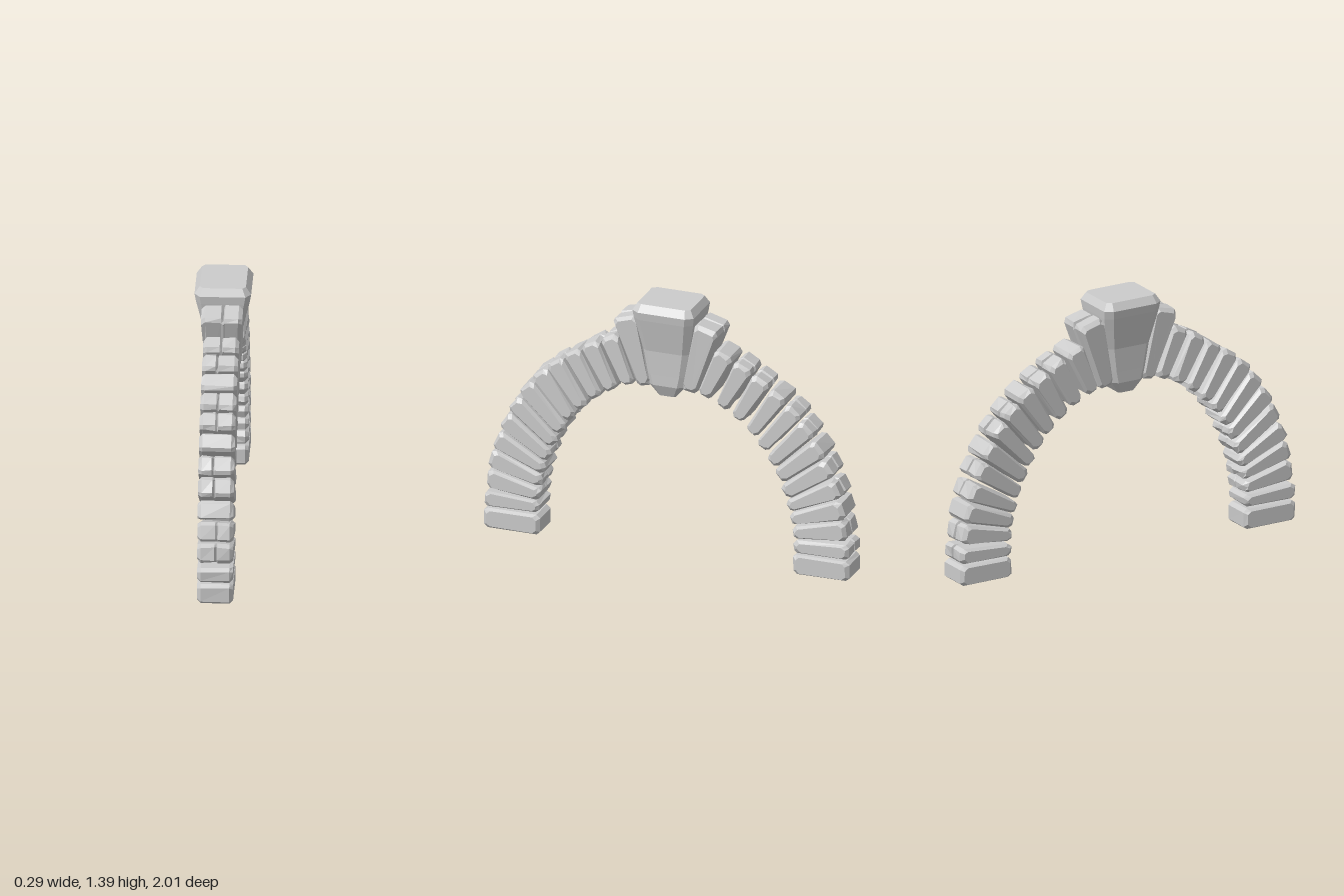
import * as THREE from 'three';

const material = new THREE.MeshStandardMaterial({ color: 0xcccccc, flatShading: true });

// small seeded generator for the worn, hand-cut look
let seed = 7;
const rand = () => (seed = (seed * 16807) % 2147483647) / 2147483647;
const wobble = (a) => (rand() * 2 - 1) * a;

// skin a list of equal-length rings and cap both ends
function loft(rings) {
  const n = rings[0].length;
  const pts = rings.flat();
  const faces = [];
  for (let i = 0; i < rings.length - 1; i++) {
    for (let j = 0; j < n; j++) {
      const a = i * n + j, b = i * n + ((j + 1) % n);
      faces.push([a, b, b + n], [a, b + n, a + n]);
    }
  }
  const last = (rings.length - 1) * n;
  for (let j = 1; j < n - 1; j++) {
    faces.push([0, j + 1, j], [last, last + j, last + j + 1]);
  }
  // turn every face outwards when the rings run the other way
  let volume = 0;
  const cross = new THREE.Vector3();
  for (const [a, b, c] of faces) volume += pts[a].dot(cross.crossVectors(pts[b], pts[c]));
  const index = faces.flatMap(([a, b, c]) => (volume < 0 ? [a, c, b] : [a, b, c]));
  const geometry = new THREE.BufferGeometry().setFromPoints(pts);
  geometry.setIndex(index);
  const flat = geometry.toNonIndexed();
  flat.computeVertexNormals();
  return flat;
}

function addMesh(group, name, geometry) {
  const mesh = new THREE.Mesh(geometry, material);
  mesh.name = name;
  group.add(mesh);
}

// wedge stone between an inner and an outer point [z, y], lofted across x
function stoneGeometry({ inner, outer, tIn, tOut, wIn = 0.092, wOut = 0.092, side, cracked, rough = 0.004 }) {
  const a = new THREE.Vector2(...inner), b = new THREE.Vector2(...outer);
  const length = a.distanceTo(b);
  const dir = b.clone().sub(a).normalize();
  const chamfer = 0.02;

  const ring = (s, inset, notch) => {
    const lo = inset, hi = length - inset - notch;
    const p = tIn / 2 - inset * 0.6, q = tOut / 2 - inset * 0.6;
    const c = chamfer, k = chamfer * 0.8;
    const outline = [
      [lo, -p + k], [lo + c, -p], [hi - c, -q], [hi, -q + k],
      [hi, q - k], [hi - c, q], [lo + c, p], [lo, p - k],
    ];
    return outline.map(([u, v]) => {
      const x = s * THREE.MathUtils.lerp(wIn, wOut, u / length);
      const z = a.x + dir.x * u - dir.y * v + wobble(rough);
      const y = a.y + dir.y * u + dir.x * v + wobble(rough);
      return new THREE.Vector3(x, Math.max(y, 0), z * side);
    });
  };

  const rings = [ring(-1, 0.018, 0), ring(-0.8, 0, 0)];
  if (cracked) {
    // shallow split running over the outer face
    const at = wobble(0.15);
    rings.push(ring(at - 0.12, 0, 0), ring(at, 0, 0.014), ring(at + 0.06, 0, 0));
  }
  rings.push(ring(0.8, 0, 0), ring(1, 0.018, 0));
  return loft(rings);
}

// outer and inner end points [z, y] of the ring stones, from the foot upwards
const OUTER = [
  [1.0, 0.165], [0.982, 0.28], [0.965, 0.395], [0.937, 0.505], [0.892, 0.62], [0.842, 0.722],
  [0.777, 0.822], [0.705, 0.91], [0.618, 0.985], [0.522, 1.05], [0.425, 1.112], [0.318, 1.165],
];
const INNER = [
  [0.695, 0.155], [0.69, 0.228], [0.68, 0.3], [0.665, 0.37], [0.643, 0.445], [0.612, 0.525],
  [0.572, 0.602], [0.52, 0.678], [0.46, 0.748], [0.385, 0.815], [0.3, 0.87], [0.205, 0.915],
];

export function createModel() {
  const model = new THREE.Group();
  model.name = 'stoneArch';

  for (const side of [1, -1]) {
    const half = new THREE.Group();
    half.name = side > 0 ? 'frontHalf' : 'backHalf';
    model.add(half);

    addMesh(half, 'footStone', stoneGeometry({
      inner: [0.693, 0.058], outer: [1.0, 0.058], tIn: 0.108, tOut: 0.108, side, rough: 0.002,
    }));

    OUTER.forEach((outer, i) => {
      const tIn = i < 4 ? 0.066 : 0.076;
      addMesh(half, `archStone${i + 1}`, stoneGeometry({
        inner: INNER[i], outer, tIn, tOut: i === 0 ? 0.082 : 0.1, side,
        cracked: (i + (side > 0 ? 0 : 1)) % 3 !== 0,
      }));
    });

    // taller stone leaning on the keystone
    addMesh(half, 'shoulderStone', stoneGeometry({
      inner: [0.12, 0.925], outer: [0.225, 1.295], tIn: 0.085, tOut: 0.135,
      wIn: 0.085, wOut: 0.107, side, cracked: true,
    }));
  }

  // keystone: chamfered rectangles [y, half x, half z, chamfer]
  const keyRings = [
    [0.875, 0.06, 0.046, 0.01], [0.94, 0.09, 0.095, 0.03], [1.0, 0.092, 0.11, 0.032],
    [1.13, 0.098, 0.13, 0.034], [1.24, 0.122, 0.15, 0.038], [1.31, 0.138, 0.162, 0.04],
    [1.353, 0.145, 0.168, 0.04], [1.392, 0.118, 0.145, 0.025],
  ].map(([y, hx, hz, c]) => [
    [hx, hz - c], [hx - c * 0.7, hz], [c * 0.7 - hx, hz], [-hx, hz - c],
    [-hx, c - hz], [c * 0.7 - hx, -hz], [hx - c * 0.7, -hz], [hx, c - hz],
  ].map(([x, z]) => new THREE.Vector3(x, y, z + 0.004)));
  addMesh(model, 'keystone', loft(keyRings));

  return model;
}
